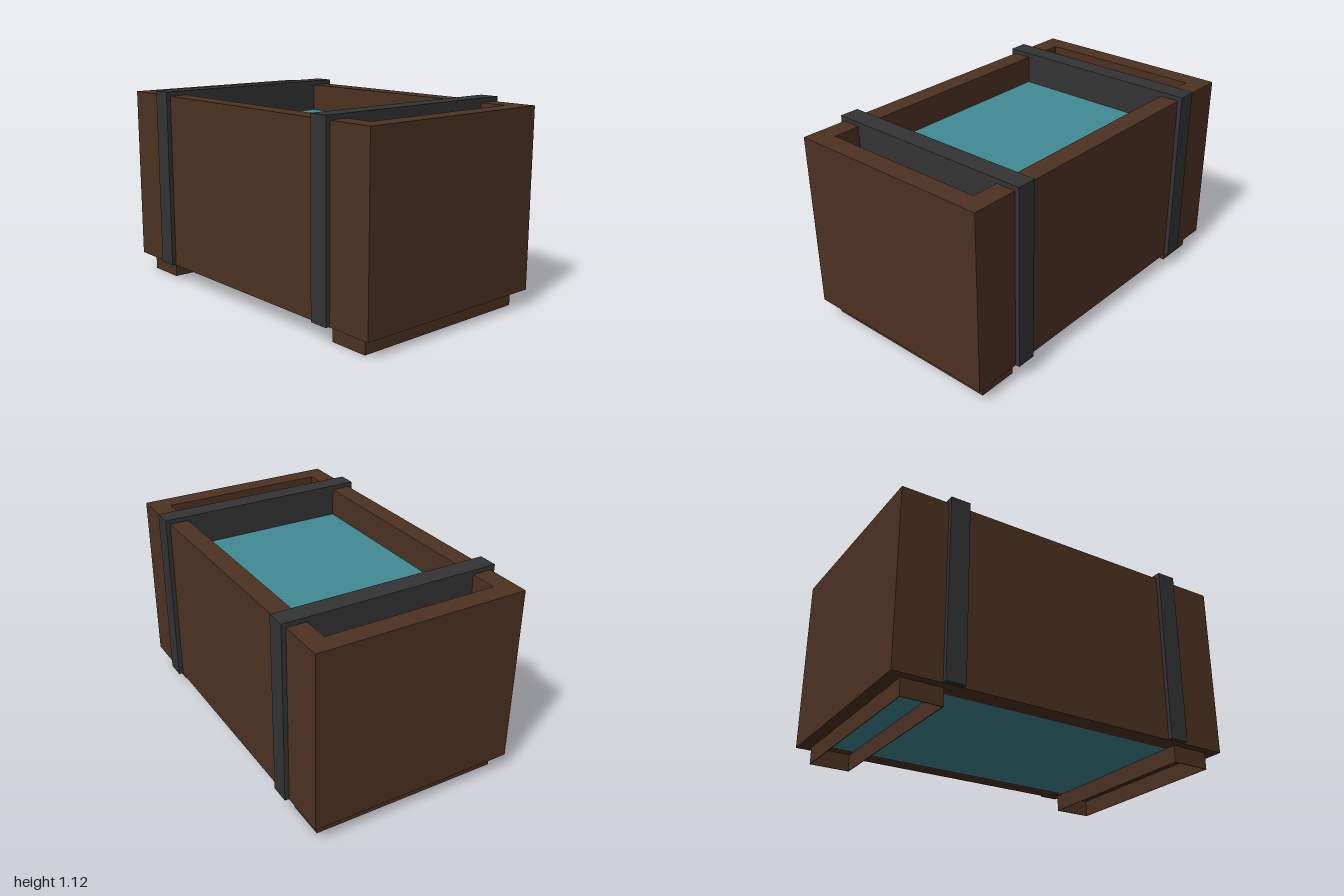
import * as THREE from 'three';

const BASE = 0.095;   // underside of the crate
const RIM = 1.09;     // top of the crate walls

// Rectangular ring extruded upward from y = 0
function ringGeometry(w, d, wall, h) {
  const rect = (target, a, b) => target
    .moveTo(-a, -b).lineTo(a, -b).lineTo(a, b).lineTo(-a, b).closePath();
  const shape = rect(new THREE.Shape(), w / 2, d / 2);
  shape.holes.push(rect(new THREE.Path(), w / 2 - wall, d / 2 - wall));
  return new THREE.ExtrudeGeometry(shape, { depth: h, bevelEnabled: false }).rotateX(-Math.PI / 2);
}

export function createModel() {
  const wood = new THREE.MeshStandardMaterial({ color: 0x4d3222 });
  wood.name = 'darkWood';
  const metal = new THREE.MeshStandardMaterial({ color: 0x343434 });
  metal.name = 'darkMetal';
  const water = new THREE.MeshStandardMaterial({ color: 0x418a95 });
  water.name = 'tealWater';

  const model = new THREE.Group();
  model.name = 'waterCrate';
  const add = (name, geometry, material, x, y) => {
    const mesh = new THREE.Mesh(geometry, material);
    mesh.name = name;
    mesh.position.set(x, y, 0);
    model.add(mesh);
  };
  const box = (w, h, d) => new THREE.BoxGeometry(w, h, d);

  // Four thick walls around an open middle
  add('crateWalls', ringGeometry(2, 1.18, 0.11, RIM - BASE), wood, 0, BASE);

  // Water filling the middle, a little below the rim
  const level = 0.93;
  add('water', box(1.78, level - BASE, 0.96), water, 0, (level + BASE) / 2);

  for (const [side, s] of [['left', 1], ['right', -1]]) {
    // Band running through and over the crate, its foot just above the underside
    const bottom = BASE + 0.003, top = 1.115;
    add(side + 'Band', box(0.11, top - bottom, 1.23), metal, s * 0.682, (top + bottom) / 2);
    // Hollow runner foot, open underneath
    add(side + 'Foot', ringGeometry(0.225, 1.085, 0.004, BASE), wood, s * 0.818, 0);
  }
  return model;
}
